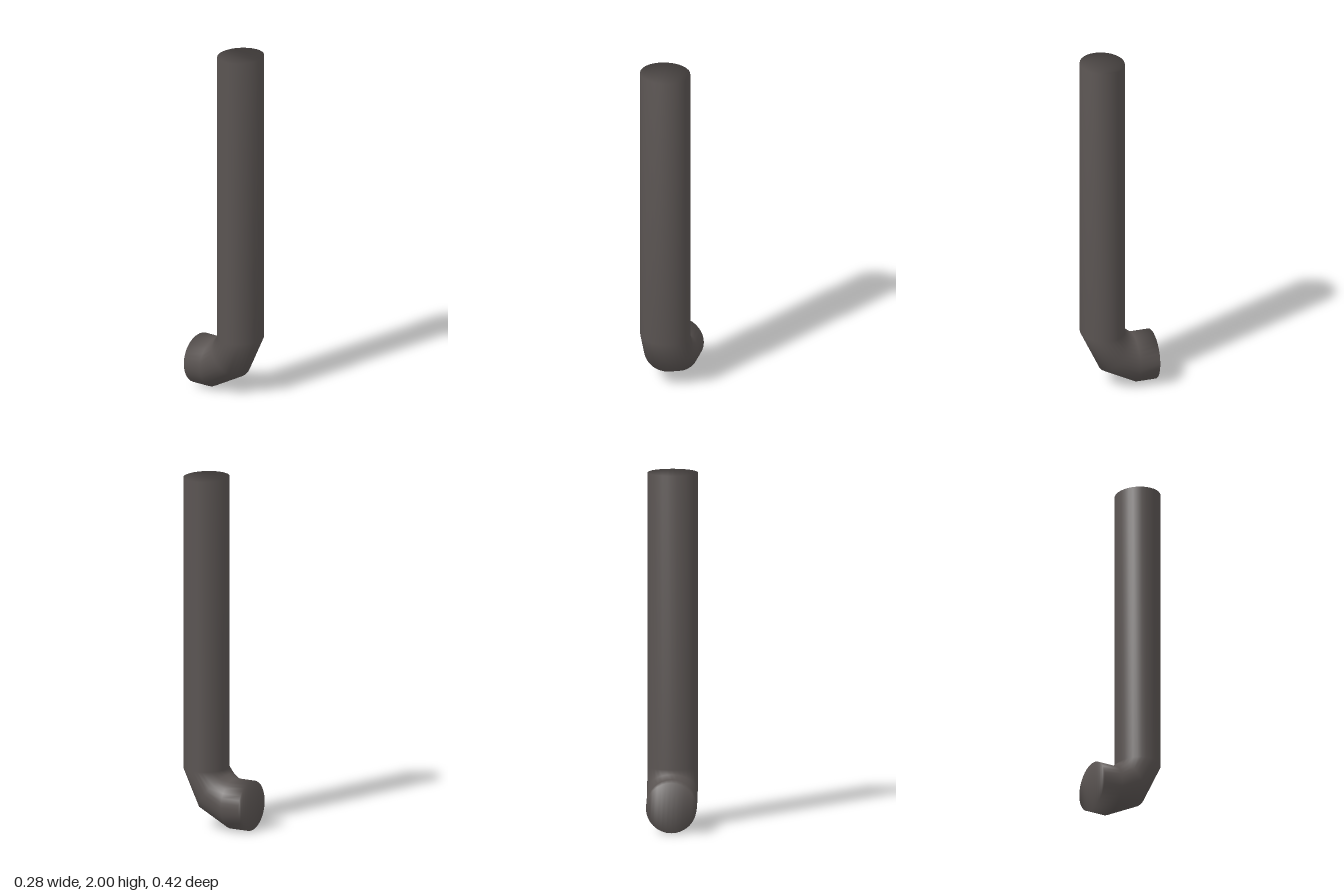
import * as THREE from 'three';

const SIDES = 32;
const HALF_WIDTH = 0.142;

// Each ring of the pipe: outer [z, y] and inner [z, y] edge of the bend
const RINGS = [
  [[0.21, 2.0], [-0.04, 2.0]],
  [[0.21, 0.33], [-0.04, 0.33]],
  [[0.1, 0.1], [-0.065, 0.308]],
  [[-0.095, 0], [-0.095, 0.285]],
  [[-0.21, 0], [-0.21, 0.285]],
];

function bentPipe() {
  const positions = [];
  const index = [];

  for (const [outer, inner] of RINGS) {
    for (let i = 0; i < SIDES; i++) {
      const a = (i / SIDES) * Math.PI * 2;
      const t = (1 + Math.sin(a)) / 2;
      positions.push(
        Math.cos(a) * HALF_WIDTH,
        THREE.MathUtils.lerp(inner[1], outer[1], t),
        THREE.MathUtils.lerp(inner[0], outer[0], t)
      );
    }
  }

  // Walls between neighbouring rings
  for (let r = 0; r < RINGS.length - 1; r++) {
    for (let i = 0; i < SIDES; i++) {
      const j = (i + 1) % SIDES;
      const a = r * SIDES + i, b = r * SIDES + j;
      index.push(a, b, a + SIDES, b, b + SIDES, a + SIDES);
    }
  }

  // Flat ends, sharing the rim so the shading rolls over softly
  const last = (RINGS.length - 1) * SIDES;
  for (let i = 0; i < SIDES / 2; i++) {
    const a = i, b = i + 1;
    const c = SIDES - 1 - i, d = (SIDES - i) % SIDES;
    for (const [p, q, s] of [[a, b, c], [a, c, d]]) {
      if (p === q || q === s || s === p) continue;
      index.push(s, q, p);
      index.push(last + p, last + q, last + s);
    }
  }

  const geometry = new THREE.BufferGeometry();
  geometry.setAttribute('position', new THREE.Float32BufferAttribute(positions, 3));
  geometry.setIndex(index);
  geometry.computeVertexNormals();
  return geometry;
}

export function createModel() {
  const group = new THREE.Group();
  group.name = 'elbowPipe';

  const pipe = new THREE.Mesh(bentPipe(), new THREE.MeshStandardMaterial({ color: 0x5a5452 }));
  pipe.name = 'pipe';
  group.add(pipe);
  return group;
}
